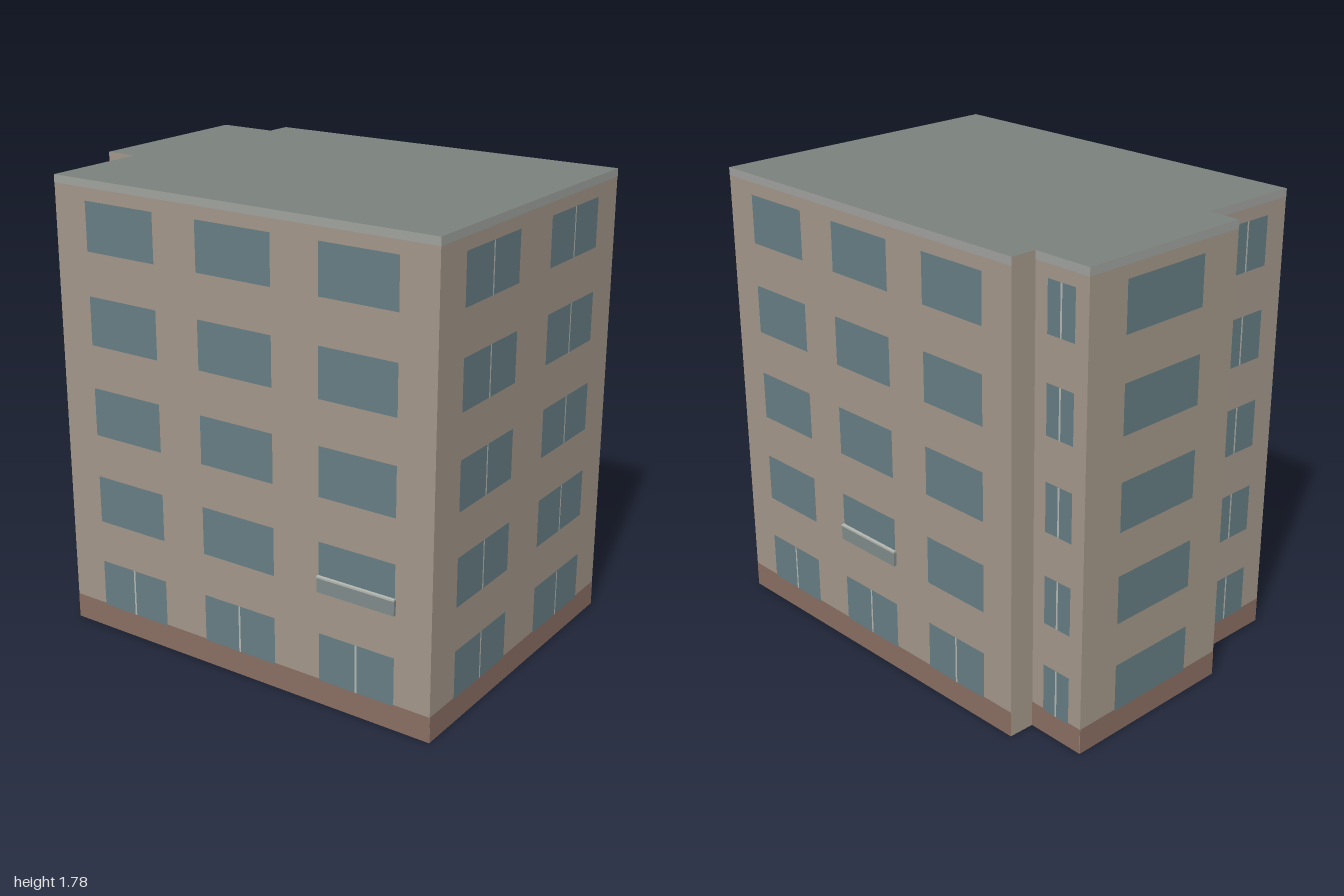
import * as THREE from 'three';

const mat = (color, double) => {
  const m = new THREE.MeshStandardMaterial({ color });
  if (double) m.side = THREE.DoubleSide;
  return m;
};
const HEIGHT = 1.78;
const FLOORS = [0.095, 0.45, 0.805, 1.16, 1.515];
const WINDOW_H = 0.187;

// Column fractions along a wall: [start, end]
const THREE_COLS = [[0.09, 0.283], [0.4, 0.597], [0.717, 0.91]];
const TWO_COLS = [[0.125, 0.41], [0.59, 0.876]];
const ONE_COL = [[0.24, 0.76]];

// Footprint corners (x, z), each with the wall that leads to the next corner
const WALLS = [
  { name: 'frontWall', p: [-0.57, 0.82], cols: THREE_COLS, dividers: 'ground', balcony: 2 },
  { name: 'rightWall', p: [1.0, 0.39], cols: TWO_COLS, dividers: 'all' },
  { name: 'backWall', p: [0.66, -0.825], cols: THREE_COLS, dividers: 'ground', balcony: 1 },
  { name: 'backNotchWall', p: [-0.795, -0.42], cols: [], plain: true },
  { name: 'backLeftWall', p: [-0.77, -0.32], cols: ONE_COL, dividers: 'all' },
  { name: 'leftWall', p: [-1.0, -0.26], cols: ONE_COL },
  { name: 'frontNotchWall', p: [-0.805, 0.44], cols: [], plain: true },
  { name: 'frontLeftWall', p: [-0.68, 0.41], cols: ONE_COL, dividers: 'all' },
];

export function createModel() {
  const model = new THREE.Group();
  model.name = 'apartmentBlock';
  const M = {
    wall: mat(0xa3978a, true),
    base: mat(0x8a6e62),
    cornice: mat(0xa0a29e),
    glass: mat(0x667d84),
    divider: mat(0xb4b6b0),
    balcony: mat(0x7f8b8a),
    roof: mat(0x7b827e, true),
  };

  // Upright panel from (x0, y0) to (x1, y1) in a wall's own plane
  const panel = (parent, name, m, x0, x1, y0, y1, z) => {
    const mesh = new THREE.Mesh(new THREE.PlaneGeometry(x1 - x0, y1 - y0), m);
    mesh.position.set((x0 + x1) / 2, (y0 + y1) / 2, z);
    mesh.name = name;
    parent.add(mesh);
  };

  WALLS.forEach((w, i) => {
    const q = WALLS[(i + 1) % WALLS.length].p;
    const dx = q[0] - w.p[0], dz = q[1] - w.p[1];
    const len = Math.hypot(dx, dz);
    // Local x runs along the wall, local z points outwards
    const g = new THREE.Group();
    g.name = w.name;
    g.position.set(w.p[0], 0, w.p[1]);
    g.rotation.y = Math.atan2(-dz, dx);
    model.add(g);

    panel(g, 'wall', M.wall, 0, len, 0, HEIGHT, 0);
    if (!w.plain) {
      panel(g, 'baseBand', M.base, 0, len, 0, 0.1, 0.001);
      panel(g, 'cornice', M.cornice, 0, len, 1.75, HEIGHT, 0.001);
    }

    // Windows, with a centre divider where the wall has them
    for (const [a, b] of w.cols) {
      FLOORS.forEach((y, f) => {
        panel(g, 'window', M.glass, a * len, b * len, y, y + WINDOW_H, 0.002);
        if (w.dividers === 'all' || (w.dividers === 'ground' && f === 0)) {
          const mid = (a + b) / 2 * len;
          panel(g, 'windowDivider', M.divider, mid - 0.004, mid + 0.004, y, y + WINDOW_H, 0.003);
        }
      });
    }

    // Shallow balcony front with a light top rail on the second floor
    if (w.balcony !== undefined) {
      const [a, b] = w.cols[w.balcony];
      const width = (b - a) * len + 0.006;
      for (const [name, m, y, h, d] of [
        ['balconyPanel', M.balcony, 0.475, 0.055, 0.012],
        ['balconyRail', M.divider, 0.506, 0.007, 0.014],
      ]) {
        const mesh = new THREE.Mesh(new THREE.BoxGeometry(width, h, d), m);
        mesh.position.set((a + b) / 2 * len, y, d / 2);
        mesh.name = name;
        g.add(mesh);
      }
    }
  });

  // Flat roof; the underside of the building stays open
  const outline = new THREE.Shape(WALLS.map(({ p }) => new THREE.Vector2(p[0], -p[1])));
  const roof = new THREE.Mesh(new THREE.ShapeGeometry(outline).rotateX(-Math.PI / 2), M.roof);
  roof.position.y = HEIGHT;
  roof.name = 'roof';
  model.add(roof);
  return model;
}
